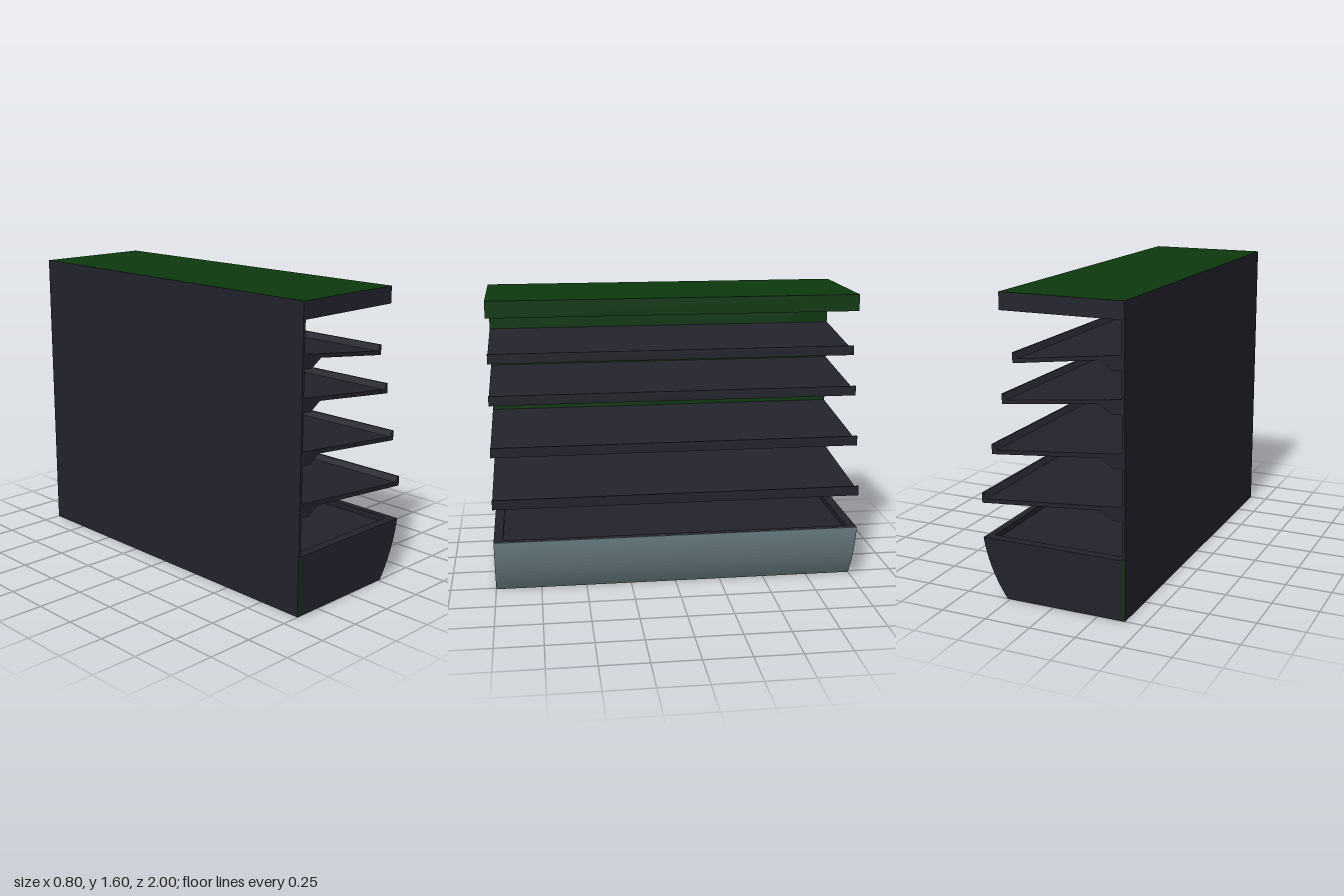
import * as THREE from 'three';

const material = (name, color) => {
  const m = new THREE.MeshStandardMaterial({ color });
  m.name = name;
  return m;
};

export function createModel() {
  const group = new THREE.Group();
  const dark = material('dark grey', 0x22222c);
  const green = material('deep green', 0x0d380f);
  const steel = material('blue grey', 0x72868c);

  const add = (name, geometry, mat) => {
    const mesh = new THREE.Mesh(geometry, mat);
    mesh.name = name;
    group.add(mesh);
  };
  // Side profile (x, y) swept along z
  const sweep = (name, points, z0, z1, mat) => {
    const shape = new THREE.Shape(points.map(([x, y]) => new THREE.Vector2(x, y)));
    const geometry = new THREE.ExtrudeGeometry(shape, { depth: z1 - z0, bevelEnabled: false });
    add(name, geometry.translate(0, 0, z0), mat);
  };
  // Full-length box; mats in order +x, -x, +y, -y, +z, -z
  const slab = (name, x0, x1, y0, y1, mats) => {
    const geometry = new THREE.BoxGeometry(x1 - x0, y1 - y0, 2);
    add(name, geometry.translate((x0 + x1) / 2, (y0 + y1) / 2, 0), mats);
  };

  // Back panel: green inside, dark outside
  slab('backPanelLower', -0.4, -0.385, 0, 0.32, [green, dark, green, dark, green, green]);
  slab('backPanelUpper', -0.4, -0.385, 0.32, 1.51, [green, dark, green, dark, dark, dark]);

  // Canopy with dark ends
  slab('canopy', -0.4, 0.265, 1.51, 1.6, [green, dark, green, green, dark, dark]);

  // Base: curved front, shallow tray between two end walls
  const skin = 0.004;
  const curve = new THREE.QuadraticBezierCurve(
    new THREE.Vector2(0.265, 0), new THREE.Vector2(0.37, 0.145), new THREE.Vector2(0.398, 0.32));
  const front = curve.getPoints(12).map((p) => [p.x, p.y]);
  const inner = front.map(([x, y]) => [x - skin, y]);
  const back = -0.385;
  const wall = 0.05;
  const solid = [[back, 0], ...inner, [back, 0.32]];
  const tray = [[back, 0], ...inner, [0.36, 0.32], [0.36, 0.29], [-0.35, 0.29], [-0.35, 0.32], [back, 0.32]];
  sweep('baseBody', tray, -1 + wall, 1 - wall, dark);
  sweep('baseEndLeft', solid, 1 - wall, 1, dark);
  sweep('baseEndRight', solid, -1, -1 + wall, dark);
  sweep('baseFrontPanel', [...front, ...inner.slice().reverse()], -1, 1, [dark, steel]);

  // Sloping shelves, each with a bracket at the back and a lip in front
  const shelves = [[0.597, 0.398], [0.865, 0.331], [1.132, 0.264], [1.345, 0.198]];
  shelves.forEach(([top, tip], i) => {
    sweep('shelf' + (i + 1), [
      [back, top], [back, top - 0.073], [-0.335, top - 0.077], [-0.268, top - 0.034],
      [tip - 0.035, top - 0.087], [tip, top - 0.09], [tip, top - 0.037],
      [tip - 0.008, top - 0.037], [tip - 0.03, top - 0.066],
    ], -1, 1, dark);
  });

  return group;
}
